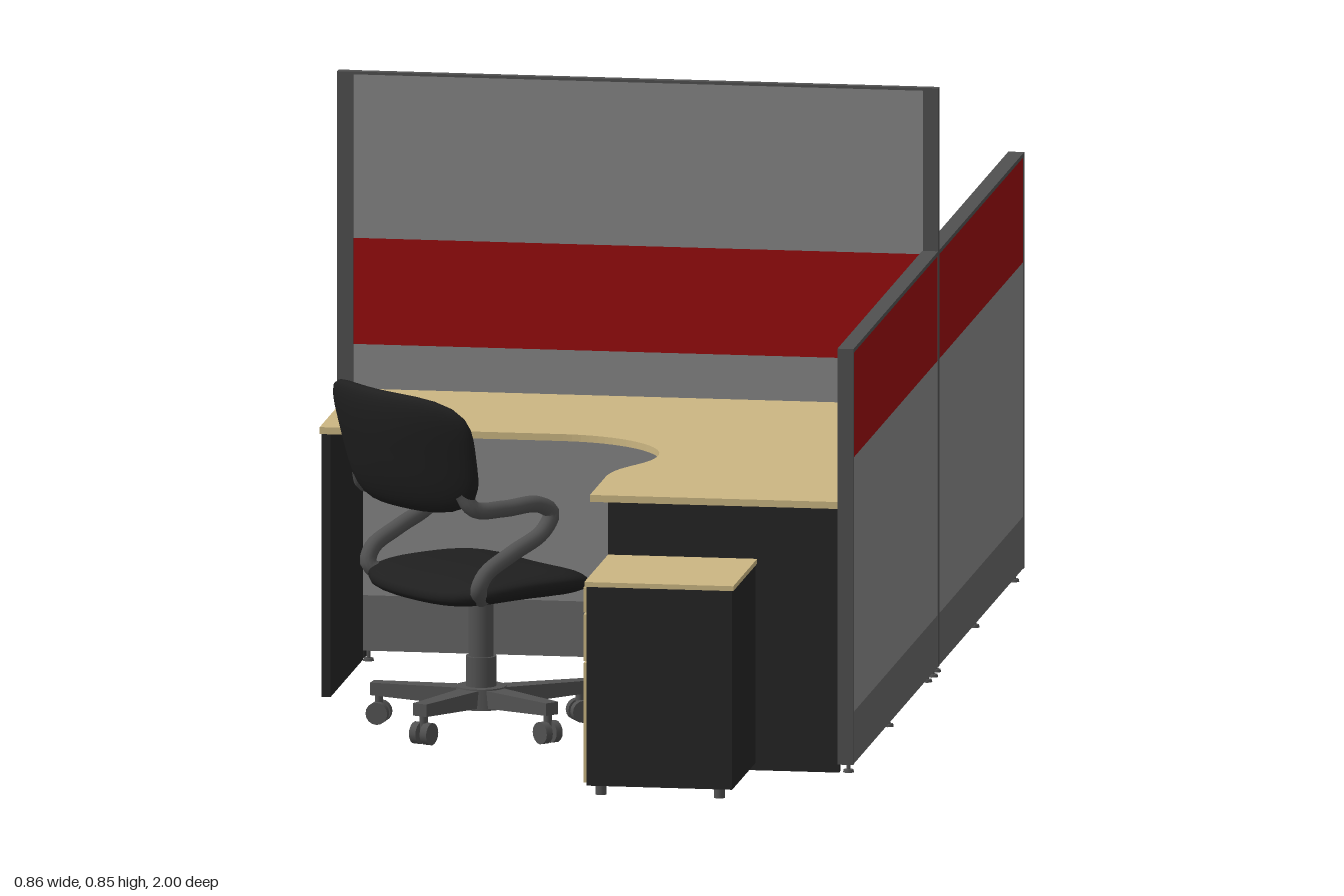
import * as THREE from 'three';
import { mergeVertices } from 'three/addons/utils/BufferGeometryUtils.js';

const mat = (name, color) => {
  const m = new THREE.MeshStandardMaterial({ color });
  m.name = name;
  return m;
};

export function createModel() {
  const wood = mat('light wood', 0xcbb682);
  const red = mat('red fabric', 0x990c0e);
  const gray = mat('gray fabric', 0x868686);
  const baseGray = mat('skirting gray', 0x666666);
  const frame = mat('frame gray', 0x505050);
  const black = mat('black laminate', 0x242424);
  const cushionBlack = mat('black upholstery', 0x1f1f1f);
  const metal = mat('dark metal', 0x525252);
  const blue = mat('blue plastic', 0x8099cc);

  const model = new THREE.Group();
  model.name = 'twoPersonWorkstation';

  const add = (parent, name, geo, material) => {
    const m = new THREE.Mesh(geo, material);
    m.name = name;
    parent.add(m);
    return m;
  };
  // Box given by its limits on each axis
  const box = (parent, name, material, x0, x1, y0, y1, z0, z1) => {
    const m = add(parent, name, new THREE.BoxGeometry(x1 - x0, y1 - y0, Math.abs(z1 - z0)), material);
    m.position.set((x0 + x1) / 2, (y0 + y1) / 2, (z0 + z1) / 2);
    return m;
  };
  const cyl = (parent, name, material, rTop, rBottom, y0, y1, x = 0, z = 0, sides = 20) => {
    const m = add(parent, name, new THREE.CylinderGeometry(rTop, rBottom, y1 - y0, sides), material);
    m.position.set(x, (y0 + y1) / 2, z);
    return m;
  };
  const group = (parent, name) => {
    const g = new THREE.Group();
    g.name = name;
    parent.add(g);
    return g;
  };
  const foot = (parent, x, z) => {
    cyl(parent, 'footStem', metal, 0.003, 0.003, 0.003, 0.018, x, z, 8);
    cyl(parent, 'footPad', metal, 0.007, 0.008, 0, 0.004, x, z, 12);
  };

  // Tall divider between the two desks
  const divider = group(model, 'divider');
  const dividerBands = [
    ['dividerSkirting', baseGray, 0.015, 0.095], ['dividerLowerPanel', gray, 0.095, 0.457],
    ['dividerRedBand', red, 0.457, 0.61], ['dividerUpperPanel', gray, 0.61, 0.847],
  ];
  for (const [name, m, y0, y1] of dividerBands) box(divider, name, m, -0.409, 0.41, y0, y1, -0.005, 0.005);
  box(divider, 'dividerTopRail', frame, -0.409, 0.41, 0.846, 0.85, -0.006, 0.006);
  box(divider, 'dividerOuterPost', frame, -0.432, -0.409, 0.015, 0.85, -0.007, 0.007);
  box(divider, 'dividerInnerPost', frame, 0.409, 0.431, 0.015, 0.85, -0.006, 0.006);
  for (const x of [-0.422, -0.388, 0.422]) foot(divider, x, 0);

  // Low side wall, one panel per desk
  for (const s of [-1, 1]) {
    const wall = group(model, 'sideWall');
    const bands = [
      ['wallSkirting', baseGray, 0.015, 0.09], ['wallLowerPanel', gray, 0.09, 0.457],
      ['wallRedBand', red, 0.457, 0.61],
    ];
    for (const [name, m, y0, y1] of bands) box(wall, name, m, 0.411, 0.43, y0, y1, s * 0.005, s * 0.77);
    box(wall, 'wallTopRail', frame, 0.408, 0.431, 0.609, 0.615, s * 0.004, s * 0.77);
    box(wall, 'wallEndPost', frame, 0.408, 0.431, 0.015, 0.615, s * 0.769, s * 0.776);
    for (const z of [0.04, 0.39, 0.75]) foot(wall, 0.42, s * z);
  }

  // L-shaped desk with curved inner corner, and its end panels
  for (const s of [-1, 1]) {
    const desk = group(model, 'desk');
    const sh = new THREE.Shape();
    sh.moveTo(-0.409, s * 0.006);
    sh.lineTo(0.409, s * 0.006);
    sh.lineTo(0.409, s * 0.772);
    sh.lineTo(0.052, s * 0.772);
    sh.lineTo(0.052, s * 0.63);
    sh.bezierCurveTo(0.052, s * 0.54, 0.1, s * 0.53, 0.1, s * 0.455);
    sh.bezierCurveTo(0.1, s * 0.38, 0.03, s * 0.311, -0.06, s * 0.311);
    sh.lineTo(-0.409, s * 0.311);
    sh.closePath();
    const top = new THREE.ExtrudeGeometry(sh, { depth: 0.01, bevelEnabled: false, curveSegments: 20 });
    top.rotateX(Math.PI / 2);
    add(desk, 'desktop', top, wood).position.y = 0.393;
    box(desk, 'deskEndPanel', black, -0.408, -0.395, 0.002, 0.383, s * 0.008, s * 0.3);
    box(desk, 'deskSidePanel', black, 0.077, 0.409, 0.002, 0.383, s * 0.755, s * 0.768);
  }

  // Drawer pedestals at both ends
  for (const s of [-1, 1]) {
    const ped = group(model, 'drawerPedestal');
    box(ped, 'pedestalBody', black, 0.083, 0.292, 0.016, 0.303, s * 0.787, s * 0.998);
    box(ped, 'pedestalTop', wood, 0.08, 0.294, 0.303, 0.31, s * 0.784, s);
    for (const [y0, y1] of [[0.02, 0.192], [0.195, 0.262], [0.265, 0.301]])
      box(ped, 'drawerFront', wood, 0.078, 0.084, y0, y1, s * 0.79, s * 0.995);
    for (const x of [0.1, 0.27]) for (const z of [0.81, 0.975])
      cyl(ped, 'pedestalCaster', metal, 0.008, 0.008, 0, 0.017, x, s * z, 12);
    // Bow handles
    if (s < 0) for (const y of [0.235, 0.165]) {
      const h = add(ped, 'drawerHandle', new THREE.TorusGeometry(0.02, 0.003, 6, 16, Math.PI), metal);
      h.rotation.set(Math.PI / 2, 0, Math.PI / 2);
      h.position.set(0.079, y, s * 0.892);
    }
  }

  // Stack of paper trays
  const trays = group(model, 'paperTrays');
  trays.position.set(-0.341, 0, -0.221);
  for (const [name, m, y] of [['lowerTray', gray, 0.455], ['middleTray', wood, 0.515], ['upperTray', blue, 0.578]]) {
    const t = group(trays, name);
    box(t, 'trayFloor', m, -0.066, 0.066, y, y + 0.004, -0.079, 0.079);
    for (const s of [-1, 1]) {
      const side = box(t, 'traySide', m, -0.002, 0.002, y, y + 0.018, -0.08, 0.08);
      side.position.x = s * 0.065;
      const end = box(t, 'trayEnd', m, -0.066, 0.066, y, y + 0.018, -0.002, 0.002);
      end.position.z = s * 0.078;
    }
  }
  for (const x of [-0.06, 0.06]) for (const z of [-0.073, 0.073])
    cyl(trays, 'trayLeg', metal, 0.003, 0.003, 0.393, 0.59, x, z, 8);

  // Pillow shape: squarish in plan (x, z), lens-like in height (y)
  const cushion = (hx, hy, hz, rule) => {
    let g = new THREE.SphereGeometry(1, 40, 24);
    g.deleteAttribute('uv');
    g.deleteAttribute('normal');
    g = mergeVertices(g, 1e-5);
    const p = g.attributes.position;
    const v = new THREE.Vector3();
    for (let i = 0; i < p.count; i++) {
      v.fromBufferAttribute(p, i);
      const plan = Math.pow(Math.abs(v.x) ** 4 + Math.abs(v.z) ** 4, 0.25);
      v.multiplyScalar(1 / Math.pow(plan ** 2.6 + Math.abs(v.y) ** 2.6, 1 / 2.6));
      rule(v.set(v.x * hx, v.y * hy, v.z * hz));
      p.setXYZ(i, v.x, v.y, v.z);
    }
    g.computeVertexNormals();
    return g;
  };

  // Swivel chair facing +x; baseTurn sets where the five legs point
  const makeChair = (x, z, turn, baseTurn) => {
    const chair = group(model, 'swivelChair');
    chair.position.set(x, 0, z);
    const base = group(chair, 'chairBase');
    cyl(base, 'hub', metal, 0.036, 0.04, 0.032, 0.062);
    cyl(base, 'columnSleeve', metal, 0.022, 0.022, 0.06, 0.105);
    cyl(base, 'column', metal, 0.018, 0.018, 0.1, 0.2);
    for (let i = 0; i < 5; i++) {
      const leg = group(base, 'baseLeg');
      leg.rotation.y = -(baseTurn + i * Math.PI * 0.4);
      const g = new THREE.BoxGeometry(0.14, 0.026, 0.034);
      const p = g.attributes.position;
      for (let k = 0; k < p.count; k++) if (p.getX(k) > 0) {
        p.setZ(k, p.getZ(k) * 0.65);
        if (p.getY(k) < 0) p.setY(k, -0.005);
      }
      g.computeVertexNormals();
      add(leg, 'legBar', g, metal).position.set(0.09, 0.047, 0);
      cyl(leg, 'casterStem', metal, 0.006, 0.006, 0.018, 0.045, 0.15, 0, 10);
      for (const s of [-1, 1]) {
        const w = cyl(leg, 'casterWheel', metal, 0.016, 0.016, 0, 0.011, 0.15, s * 0.009, 16);
        w.position.y = 0.016;
        w.rotation.x = Math.PI / 2;
      }
    }
    const upper = group(chair, 'chairUpper');
    upper.rotation.y = turn;
    box(upper, 'seatMechanism', metal, -0.05, 0.05, 0.188, 0.2, -0.04, 0.04);
    // Seat dips at its front edge and rises towards the sides
    const seat = cushion(0.125, 0.024, 0.143, (v) => { v.y += 0.35 * v.z * v.z - 0.4 * v.x * v.x; });
    add(upper, 'seat', seat, cushionBlack).position.set(-0.005, 0.217, 0);
    // Backrest wraps forward at the sides, narrows downward and leans back
    const back = cushion(0.088, 0.021, 0.152, (v) => {
      const h = v.x;
      const w = v.z * (1 + 0.7 * h);
      v.set(-v.y + 1.7 * w * w - 0.28 * h, h, w);
    });
    add(upper, 'backrest', back, cushionBlack).position.set(-0.165, 0.423, 0);
    // Looped tube arms joining seat and backrest
    for (const s of [-1, 1]) {
      const pts = [[-0.125, 0.37, 0.12], [-0.11, 0.347, 0.13], [-0.06, 0.343, 0.134], [0.0, 0.343, 0.134],
        [0.024, 0.328, 0.134], [0.008, 0.302, 0.134], [-0.045, 0.277, 0.134], [-0.092, 0.252, 0.134],
        [-0.102, 0.23, 0.13], [-0.085, 0.212, 0.115]].map(([a, b, c]) => new THREE.Vector3(a, b, s * c));
      add(upper, 'armTube', new THREE.TubeGeometry(new THREE.CatmullRomCurve3(pts), 48, 0.012, 12), metal);
    }
  };
  makeChair(-0.148, 0.495, 0.8, -Math.PI / 6);
  makeChair(-0.06, -0.548, 0, -Math.PI / 2);

  return model;
}
